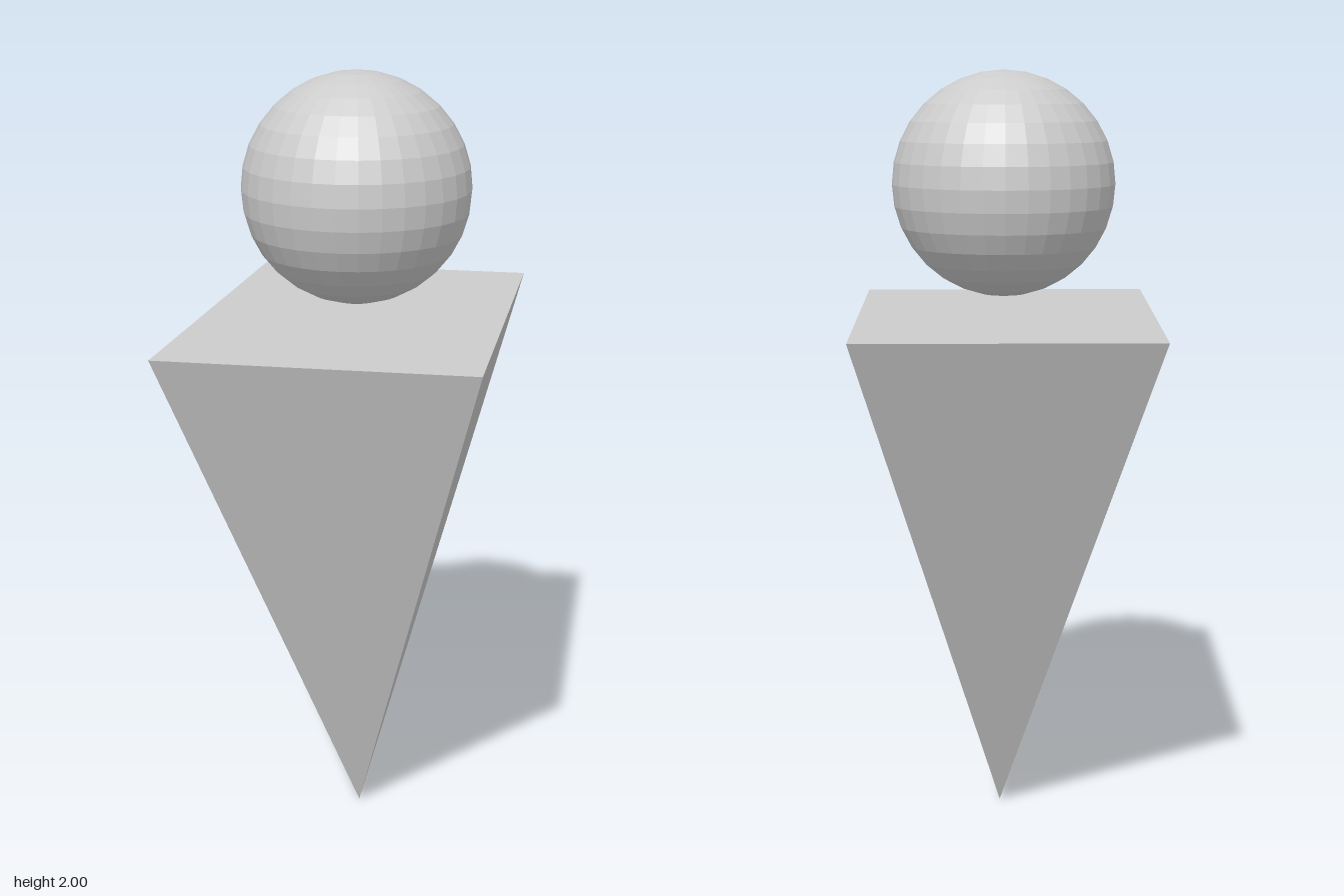
import * as THREE from 'three';

const material = new THREE.MeshStandardMaterial({ color: 0xcccccc, flatShading: true });

// Pyramid from a flat outline (counter-clockwise seen from above) down to a tip
function invertedPyramid(outline, topY, tip) {
  const rim = outline.map(([x, z]) => [x, topY, z]);
  const points = [];
  rim.forEach((p, i) => {
    const next = rim[(i + 1) % rim.length];
    points.push(next, p, tip); // sloping side
    if (i > 0 && i < rim.length - 1) points.push(rim[0], p, next); // flat top
  });
  const geometry = new THREE.BufferGeometry();
  geometry.setAttribute('position', new THREE.Float32BufferAttribute(points.flat(), 3));
  geometry.computeVertexNormals();
  return geometry;
}

export function createModel() {
  const model = new THREE.Group();
  model.name = 'figure';

  // Body: slightly uneven rectangle tapering to an off-centre point
  const outline = [[-0.366, -0.543], [-0.395, 0.541], [0.391, 0.537], [0.383, -0.54]];
  const body = new THREE.Mesh(invertedPyramid(outline, 1.378, [0.021, 0, 0.066]), material);
  body.name = 'body';
  model.add(body);

  // Head: faceted ball floating above the body
  const head = new THREE.Mesh(new THREE.SphereGeometry(0.29, 32, 16), material);
  head.name = 'head';
  head.position.set(0.009, 1.71, 0.042);
  model.add(head);

  return model;
}
